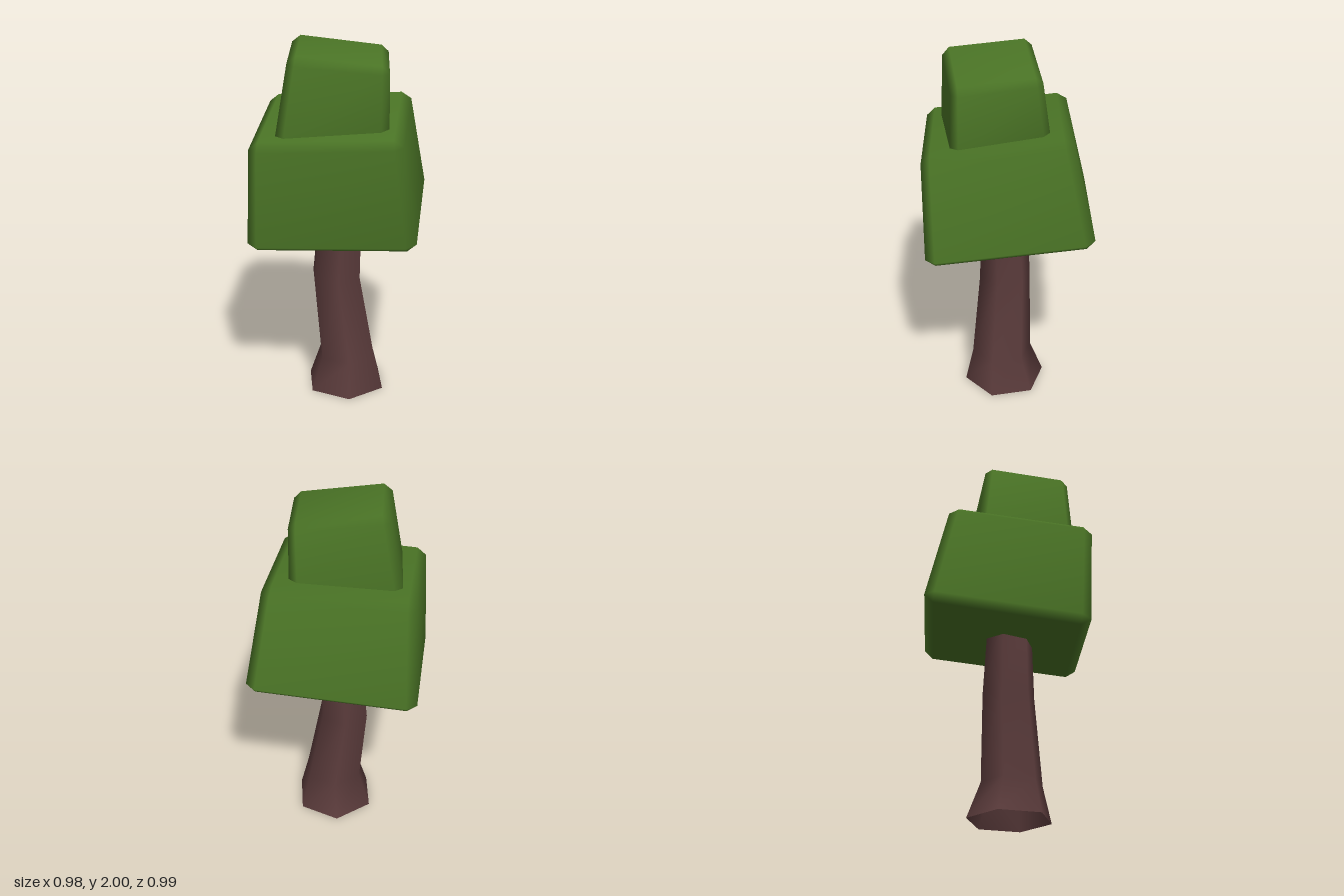
import * as THREE from 'three';
import { mergeVertices } from 'three/addons/utils/BufferGeometryUtils.js';

const leafGreen = new THREE.MeshStandardMaterial({ color: 0x4b7526 });
const barkBrown = new THREE.MeshStandardMaterial({ color: 0x5a3b3b, side: THREE.DoubleSide });

// Bevelled block between two four-sided outlines.
// Corners run front left, front right, back right, back left (in image x order).
function bevelledBlock(bottom, top, b, bw) {
  const lo = bottom.map((p) => new THREE.Vector3(...p));
  const hi = top.map((p) => new THREE.Vector3(...p));
  const positions = [];
  const index = [];

  // Maps a point of the unit cube into the block
  const place = (u, v, w) => {
    const level = (c) => c[0].clone().lerp(c[1], u).lerp(c[3].clone().lerp(c[2], u), v);
    positions.push(...level(lo).lerp(level(hi), w).toArray());
    return positions.length / 3 - 1;
  };
  const cap = (w) =>
    [[b, b], [1 - b, b], [1 - b, 1 - b], [b, 1 - b]].map(([u, v]) => place(u, v, w));
  const wall = (w) =>
    [[0, b], [b, 0], [1 - b, 0], [1, b], [1, 1 - b], [1 - b, 1], [b, 1], [0, 1 - b]]
      .map(([u, v]) => place(u, v, w));
  const twice = (ring) => ring.flatMap((i) => [i, i]);
  const tri = (i, j, k) => {
    if (i !== j && j !== k && k !== i) index.push(i, j, k);
  };

  const base = cap(0);
  const lower = wall(bw);
  const upper = wall(1 - bw);
  const lid = cap(1);
  const rings = [twice(base), lower, upper, twice(lid)];
  for (let r = 0; r < 3; r++) {
    for (let i = 0; i < 8; i++) {
      const j = (i + 1) % 8;
      tri(rings[r][i], rings[r][j], rings[r + 1][j]);
      tri(rings[r][i], rings[r + 1][j], rings[r + 1][i]);
    }
  }
  tri(lid[0], lid[1], lid[2]);
  tri(lid[0], lid[2], lid[3]);
  tri(base[0], base[2], base[1]);
  tri(base[0], base[3], base[2]);

  const geometry = new THREE.BufferGeometry();
  geometry.setAttribute('position', new THREE.Float32BufferAttribute(positions, 3));
  geometry.setIndex(index);
  geometry.computeVertexNormals();
  return geometry;
}

// Crooked six-sided tube, open below, with a flared foot
function trunkGeometry() {
  // height, centre x, centre z, radius, from the top down
  const rings = [
    [1.1, 0.0, 0.032, 0.127],
    [0.67, -0.025, 0.02, 0.145],
    [0.2, 0.037, 0.05, 0.17],
    [0, 0.03, 0.034, 0.231],
  ];
  let geometry = new THREE.CylinderGeometry(1, 1, 3, 6, 3, true);
  geometry.rotateY(THREE.MathUtils.degToRad(4));
  geometry.deleteAttribute('uv');
  geometry.deleteAttribute('normal');
  geometry = mergeVertices(geometry);
  const p = geometry.attributes.position;
  for (let i = 0; i < p.count; i++) {
    const [y, cx, cz, r] = rings[Math.round(1.5 - p.getY(i))];
    p.setXYZ(i, cx + p.getX(i) * r, y, cz + p.getZ(i) * r);
  }
  geometry.computeVertexNormals();
  return geometry;
}

export function createModel() {
  const tree = new THREE.Group();
  tree.name = 'tree';
  const add = (name, geometry, material) => {
    const mesh = new THREE.Mesh(geometry, material);
    mesh.name = name;
    tree.add(mesh);
  };

  add('trunk', trunkGeometry(), barkBrown);

  // Large tilted lower crown
  add('lowerFoliage', bevelledBlock(
    [[-0.5, 0.93, 0.37], [0.39, 0.975, 0.5], [0.5, 1.08, -0.39], [-0.405, 1.04, -0.51]],
    [[-0.475, 1.535, 0.4], [0.305, 1.575, 0.495], [0.39, 1.665, -0.27], [-0.39, 1.625, -0.37]],
    0.06, 0.065), leafGreen);

  // Smaller upper crown, its base sunk into the lower one
  add('upperFoliage', bevelledBlock(
    [[-0.35, 1.48, 0.335], [0.248, 1.52, 0.337], [0.258, 1.6, -0.185], [-0.335, 1.56, -0.21]],
    [[-0.267, 1.97, 0.322], [0.245, 1.91, 0.325], [0.257, 1.945, -0.135], [-0.25, 2.005, -0.147]],
    0.075, 0.09), leafGreen);

  return tree;
}
